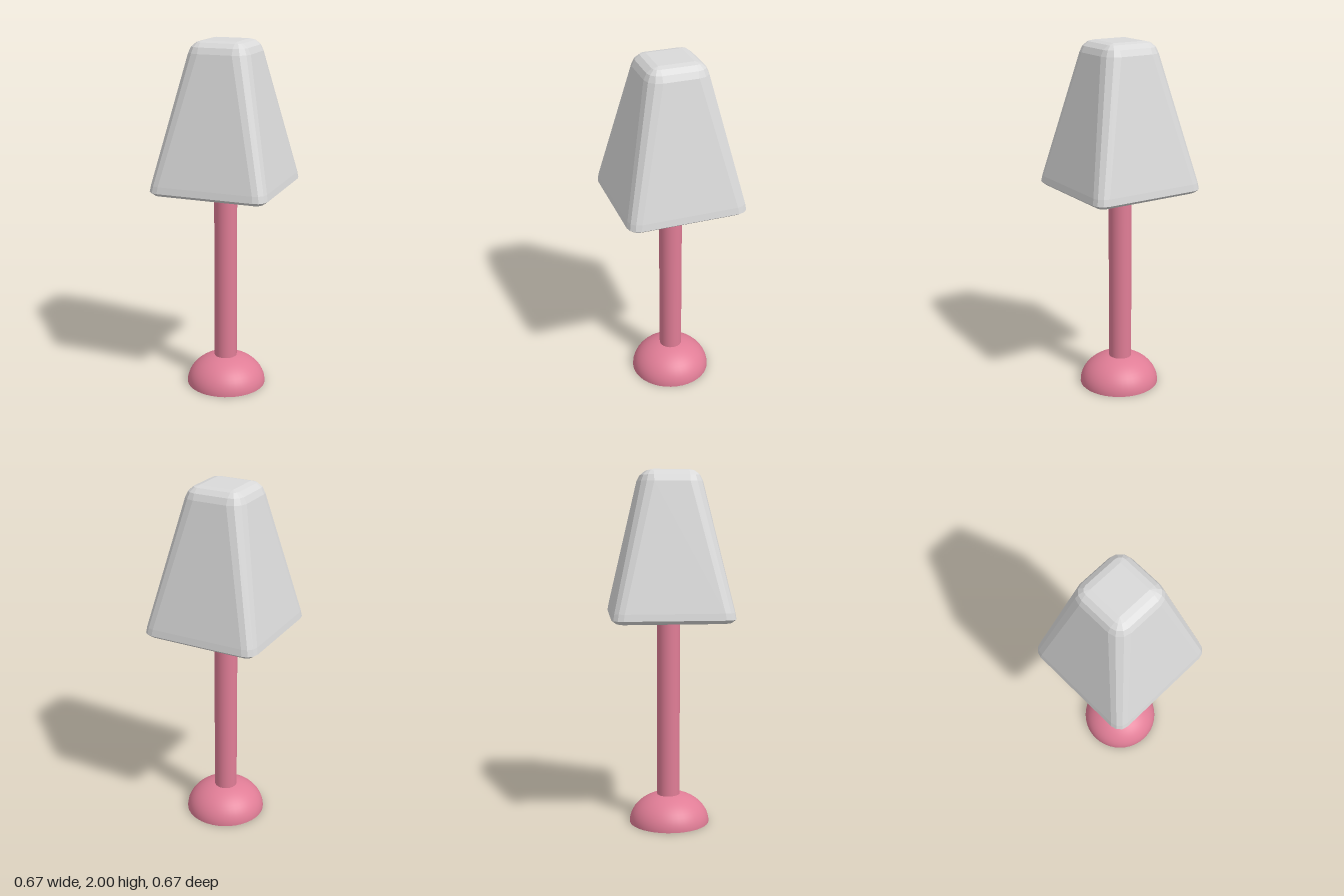
import * as THREE from 'three';

const shadeGrey = new THREE.MeshStandardMaterial({ color: 0xd9d9d9 });
shadeGrey.name = 'shadeGrey';
shadeGrey.flatShading = true;
const pink = new THREE.MeshStandardMaterial({ color: 0xe07d96, side: THREE.DoubleSide });
pink.name = 'pink';

// Square ring of half width h whose corners are arcs around a core square
function roundedRing(h, core, y, steps = 3) {
  const ring = [];
  const r = h - core;
  for (let q = 0; q < 4; q++) {
    const mid = Math.PI / 4 + q * Math.PI / 2;
    const cx = Math.sign(Math.cos(mid)) * core, cz = Math.sign(Math.sin(mid)) * core;
    for (let i = 0; i <= steps; i++) {
      const a = (q + i / steps) * Math.PI / 2;
      ring.push(new THREE.Vector3(cx + r * Math.cos(a), y, cz + r * Math.sin(a)));
    }
  }
  return ring;
}

// Closed solid through a stack of rings, bottom to top
function loft(rings) {
  const n = rings[0].length, pos = [];
  const tri = (...pts) => pts.forEach(p => pos.push(p.x, p.y, p.z));
  for (let k = 0; k < rings.length - 1; k++) {
    for (let i = 0; i < n; i++) {
      const j = (i + 1) % n;
      const a = rings[k][i], b = rings[k][j], c = rings[k + 1][j], d = rings[k + 1][i];
      tri(a, d, c);
      tri(a, c, b);
    }
  }
  const bottom = rings[0], top = rings[rings.length - 1];
  for (let i = 1; i < n - 1; i++) {
    tri(bottom[0], bottom[i], bottom[i + 1]);
    tri(top[0], top[i + 1], top[i]);
  }
  const g = new THREE.BufferGeometry();
  g.setAttribute('position', new THREE.Float32BufferAttribute(pos, 3));
  g.computeVertexNormals();
  return g;
}

export function createModel() {
  const lamp = new THREE.Group();
  lamp.name = 'lamp';
  const add = (name, geometry, material) => {
    const mesh = new THREE.Mesh(geometry, material);
    mesh.name = name;
    lamp.add(mesh);
    return mesh;
  };

  // Tapered shade with bevelled edges: half width, corner core, height
  const sections = [
    [0.275, 0.273, 1.175], [0.31, 0.273, 1.181], [0.336, 0.273, 1.2], [0.33, 0.268, 1.237],
    [0.175, 0.097, 1.936], [0.159, 0.097, 1.969], [0.131, 0.097, 1.992], [0.098, 0.097, 2],
  ];
  add('shade', loft(sections.map(([h, core, y]) => roundedRing(h, core, y))), shadeGrey);

  // Round-ended pole from inside the base up into the shade
  const pole = add('pole', new THREE.CapsuleGeometry(0.065, 1.15, 8, 32), pink);
  pole.position.set(-0.005, 0.68, -0.005);

  // Hollow flattened dome, open underneath
  const base = add('base', new THREE.SphereGeometry(0.228, 40, 14, 0, Math.PI * 2, 0, Math.PI / 2), pink);
  base.scale.y = 0.75;

  return lamp;
}
